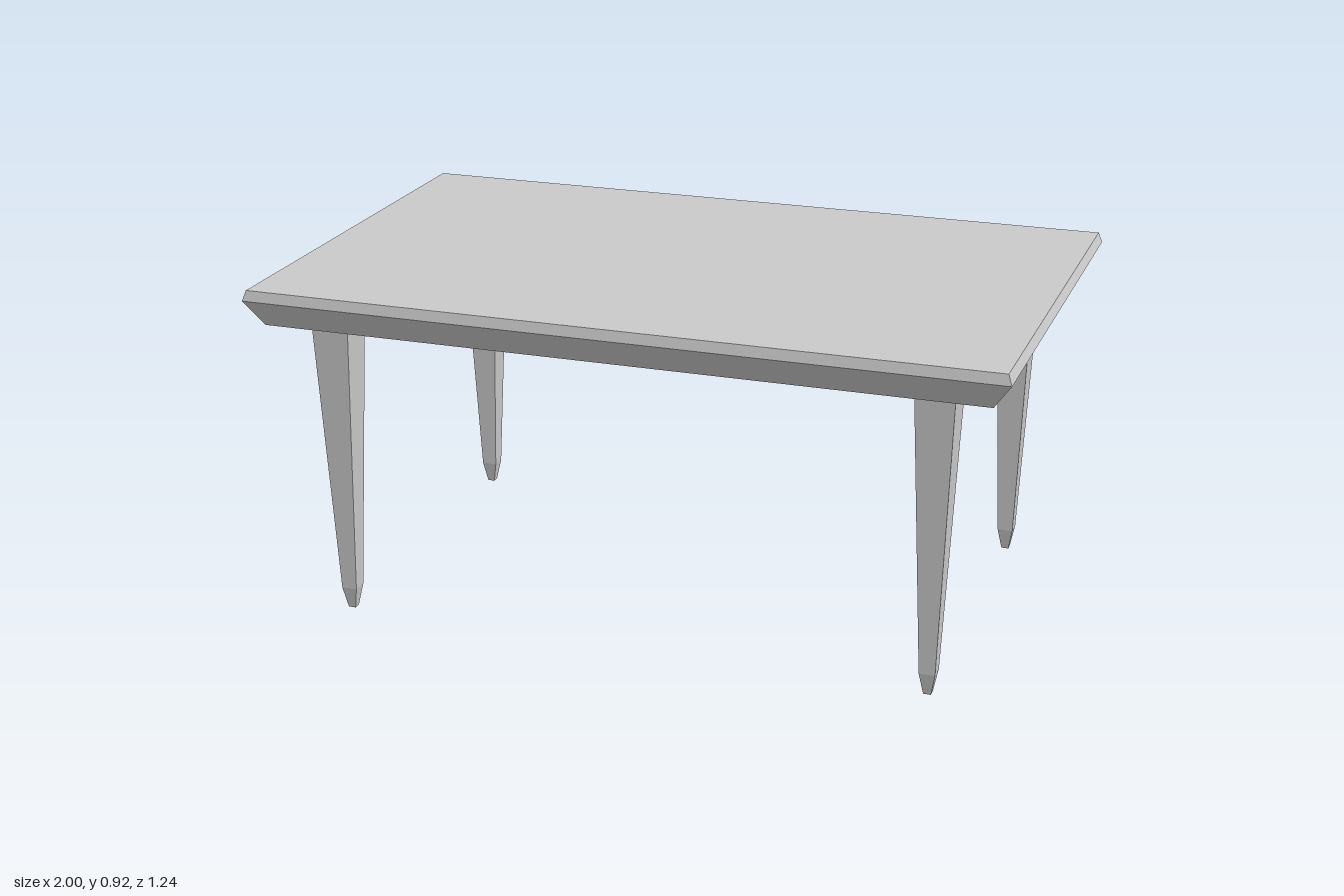
import * as THREE from 'three';

// Skin through rectangular cross-sections [y, halfX, halfZ], listed bottom to top.
function rectLoft(sections, capBottom, capTop) {
  const corners = ([y, hx, hz]) => [[-hx, y, hz], [hx, y, hz], [hx, y, -hz], [-hx, y, -hz]];
  const pos = [];
  const quad = (a, b, c, d) => pos.push(...a, ...b, ...c, ...a, ...c, ...d);
  const rings = sections.map(corners);
  for (let i = 0; i < rings.length - 1; i++) {
    const lo = rings[i], hi = rings[i + 1];
    for (let k = 0; k < 4; k++) {
      const n = (k + 1) % 4;
      quad(lo[k], lo[n], hi[n], hi[k]);
    }
  }
  if (capTop) quad(...rings[rings.length - 1]);
  if (capBottom) quad(...rings[0].slice().reverse());
  const geometry = new THREE.BufferGeometry();
  geometry.setAttribute('position', new THREE.Float32BufferAttribute(pos, 3));
  geometry.computeVertexNormals();
  return geometry;
}

export function createModel() {
  const group = new THREE.Group();
  group.name = 'table';

  // Bevelled tabletop: a thin shell, open underneath
  const shellMaterial = new THREE.MeshStandardMaterial({
    color: 0xcccccc, flatShading: true, side: THREE.DoubleSide,
  });
  const top = new THREE.Mesh(
    rectLoft([[0.823, 0.953, 0.588], [0.892, 1.0, 0.619], [0.92, 0.99, 0.613]], false, true),
    shellMaterial,
  );
  top.name = 'tabletop';
  group.add(top);

  // Four square tapered legs with pointed feet, reaching up inside the shell
  const legMaterial = new THREE.MeshStandardMaterial({ color: 0xcccccc, flatShading: true });
  const legGeometry = rectLoft(
    [[0, 0.01, 0.01], [0.06, 0.021, 0.021], [0.915, 0.055, 0.055]], true, true);
  for (const [zSide, zName] of [[1, 'front'], [-1, 'back']]) {
    for (const [xSide, xName] of [[1, 'Left'], [-1, 'Right']]) {
      const leg = new THREE.Mesh(legGeometry, legMaterial);
      leg.name = `${zName}${xName}Leg`;
      leg.position.set(xSide * 0.8, 0, zSide * 0.48);
      group.add(leg);
    }
  }
  return group;
}
